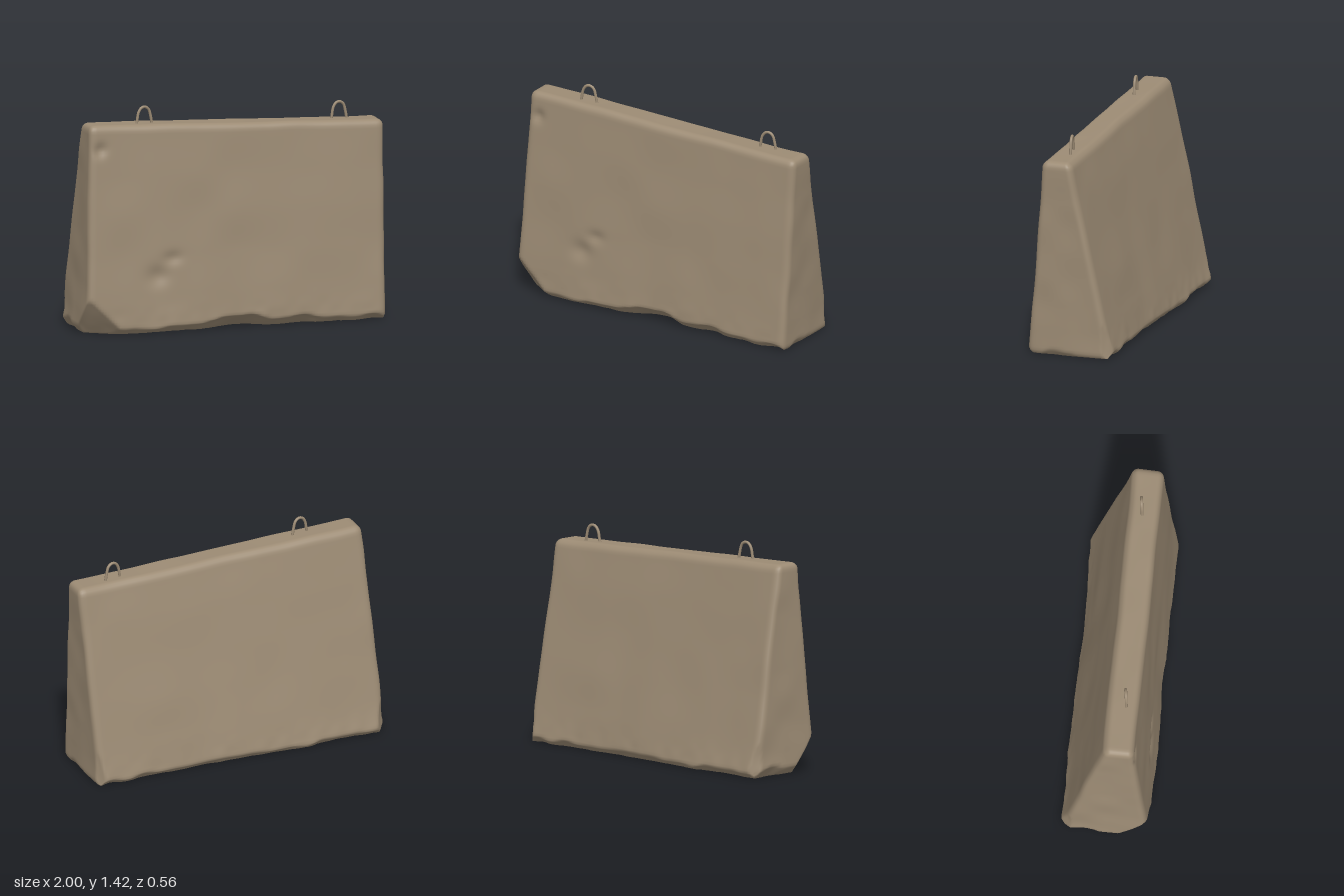
import * as THREE from 'three';
import { mergeVertices } from 'three/addons/utils/BufferGeometryUtils.js';

const { clamp, lerp, smoothstep } = THREE.MathUtils;

// Seeded smooth 3D value noise, -1..1
function hash(i, j, k) {
  const s = Math.sin(i * 127.1 + j * 311.7 + k * 74.7) * 43758.5453;
  return (s - Math.floor(s)) * 2 - 1;
}
function noise(x, y, z) {
  const i = Math.floor(x), j = Math.floor(y), k = Math.floor(z);
  const f = (t) => t * t * (3 - 2 * t);
  const u = f(x - i), v = f(y - j), w = f(z - k);
  const row = (b, c) => lerp(hash(i, b, c), hash(i + 1, b, c), u);
  const slab = (c) => lerp(row(j, c), row(j + 1, c), v);
  return lerp(slab(k), slab(k + 1), w);
}
const bump = (x, centre, width) => Math.exp(-(((x - centre) / width) ** 2));

// Tapered block with rounded, worn edges
function blockGeometry() {
  let g = new THREE.BoxGeometry(2, 1, 2, 110, 72, 36);
  g.deleteAttribute('uv');
  g.deleteAttribute('normal');
  g = mergeVertices(g, 1e-5);
  const pos = g.attributes.position;
  const p = new THREE.Vector3(), inner = new THREE.Vector3();
  for (let n = 0; n < pos.count; n++) {
    p.fromBufferAttribute(pos, n);
    const x0 = p.x, t = p.y + 0.5;
    // sloping top, leaning ends, narrow ridge set towards the front
    const height = lerp(1.325, 1.252, (x0 + 1) / 2);
    const left = lerp(-0.995, -0.945, t), right = lerp(0.975, 0.995, t);
    const front = lerp(0.275, 0.175, t), back = lerp(-0.28, -0.012, t);
    const mx = (left + right) / 2, hx = (right - left) / 2;
    const mz = (front + back) / 2, hz = (front - back) / 2;
    p.set(x0 * hx, t * height, p.z * hz);
    // round the edges
    const r = 0.04;
    inner.set(clamp(p.x, r - hx, hx - r), clamp(p.y, r, height - r), clamp(p.z, r - hz, hz - r));
    p.sub(inner).setLength(r).add(inner);
    p.x += mx;
    p.z += mz;

    // broken lower edges
    const rough = 0.02 * noise(p.x * 9, 3, p.z * 9);
    const cut = (nx, ny, nz, limit) => {
      const over = p.x * nx + p.y * ny + p.z * nz - limit;
      if (over > 0) p.set(p.x - nx * over, p.y - ny * over, p.z - nz * over);
    };
    const chip = 0.045 + 0.09 * bump(p.x, -1, 0.18) + 0.06 * bump(p.x, 0, 0.22)
      + 0.025 * bump(p.x, 0.4, 0.15) + rough;
    cut(0, -0.8, 0.6, 0.6 * 0.275 - 0.8 * chip);
    cut(0, -0.7, -0.714, 0.714 * 0.28 - 0.7 * (0.05 + rough));
    cut(-0.8, -0.6, 0, 0.8 - 0.6 * (0.075 + rough));
    cut(0.8, -0.6, 0, 0.78 - 0.6 * (0.03 + rough));
    cut(-0.55, -0.5, 0.669, 0.585);
    cut(0.707, 0, -0.707, 0.845 + rough * 0.5);
    cut(-0.707, 0, -0.707, 0.85 + rough * 0.5);

    // pits in the front face
    if (p.z > mz) {
      p.z -= 0.02 * bump(p.x, -0.52, 0.07) * bump(p.y, 0.36, 0.06);
      p.z -= 0.015 * bump(p.x, -0.42, 0.06) * bump(p.y, 0.47, 0.04);
      p.z -= 0.02 * bump(p.x, -0.88, 0.04) * bump(p.y, 1.17, 0.04);
    }
    // uneven surface, rougher near the ground
    const { x, y, z } = p;
    const low = 1 - smoothstep(y, 0.0, 0.25);
    const amp = 0.005 + 0.006 * low;
    p.x += amp * noise(x * 4, y * 6, z * 6);
    p.y += 0.004 * noise(x * 5 + 20, y * 5, z * 6);
    p.z += amp * (noise(x * 4, y * 4 + 30, z * 4) + 0.5 * low * noise(x * 14, y * 14, z * 14));
    p.y = Math.max(p.y, 0.006);
    pos.setXYZ(n, p.x, p.y, p.z);
  }
  g.computeVertexNormals();
  return g;
}

export function createModel() {
  const group = new THREE.Group();
  const concrete = new THREE.MeshStandardMaterial({ color: 0x9c8b74 });
  concrete.name = 'concrete';

  const block = new THREE.Mesh(blockGeometry(), concrete);
  block.name = 'concreteBlock';
  group.add(block);

  // Bent lifting loops on the ridge
  const addLoop = (name, x, base, top, z) => {
    const points = [[-0.056, -0.04], [-0.05, 0.25], [-0.04, 0.7], [-0.02, 0.95], [0.005, 1],
      [0.03, 0.85], [0.045, 0.4], [0.054, -0.04]]
      .map(([dx, h]) => new THREE.Vector3(x + dx, lerp(base, top, h), z - dx * 0.15));
    const curve = new THREE.CatmullRomCurve3(points);
    const loop = new THREE.Mesh(new THREE.TubeGeometry(curve, 32, 0.009, 8), concrete);
    loop.name = name;
    group.add(loop);
  };
  addLoop('rightLiftingLoop', -0.56, 1.3, 1.412, 0.092);
  addLoop('leftLiftingLoop', 0.735, 1.25, 1.362, 0.062);
  return group;
}
